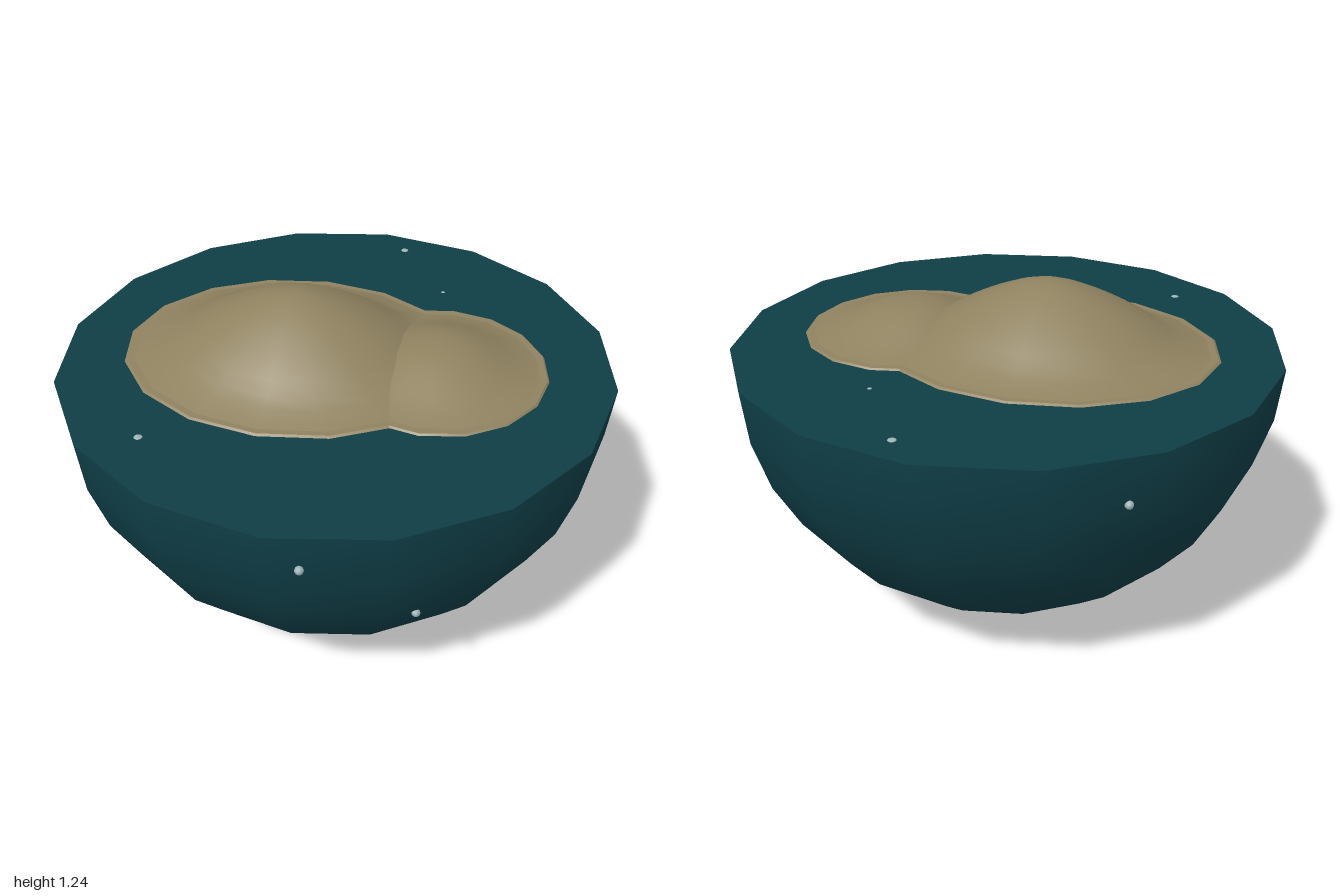
import * as THREE from 'three';

const material = (name, color) => {
  const m = new THREE.MeshStandardMaterial({ color });
  m.name = name;
  return m;
};

export function createModel() {
  const model = new THREE.Group();
  model.name = 'islandInSea';
  const sea = material('deepTeal', 0x0f3d46);
  const sand = material('sand', 0x8f8260);
  const foam = material('paleFoam', 0x9db4b8);

  const add = (name, geometry, mat, parent = model) => {
    const mesh = new THREE.Mesh(geometry, mat);
    mesh.name = name;
    parent.add(mesh);
    return mesh;
  };

  // Half globe of water, closed by a flat surface
  const bowl = new THREE.SphereGeometry(1, 16, 8, 0, Math.PI * 2, Math.PI / 2, Math.PI / 2);
  add('seaBowl', bowl, sea).position.y = 1;
  const surface = add('seaSurface', new THREE.CircleGeometry(1, 16), sea);
  surface.rotation.x = -Math.PI / 2;
  surface.position.y = 1;

  // Bell-shaped hills, each on a thin beach; profile runs from rim to summit
  const addHill = (name, x, rx, rz, height, profile) => {
    const hill = new THREE.Group();
    hill.name = name;
    hill.position.set(x, 1, 0);
    hill.scale.set(rx, 1, rz);
    model.add(hill);
    const points = profile.map(([r, h]) => new THREE.Vector2(r, h * height));
    const curve = new THREE.SplineCurve(points);
    const outline = curve.getPoints(14);
    outline[outline.length - 1].x = 0;
    add(name + 'Slope', new THREE.LatheGeometry(outline, 16), sand, hill);
    add(name + 'Beach', new THREE.CylinderGeometry(0.985, 1, 0.006, 16), sand, hill).position.y = 0.003;
  };
  addHill('mainHill', -0.15, 0.63, 0.53, 0.24,
    [[0.98, 0], [0.77, 0.16], [0.57, 0.46], [0.4, 0.69], [0.25, 0.86], [0.1, 0.98], [0, 1]]);
  addHill('lowHill', 0.37, 0.395, 0.41, 0.115,
    [[0.98, 0], [0.77, 0.19], [0.57, 0.48], [0.4, 0.73], [0.25, 0.9], [0.1, 0.985], [0, 1]]);

  // Tiny foam flecks just breaking through the water
  const flecks = [
    [0.11, 0.87, 0.975], [0.44, 0.55, 0.76], [-0.61, 0.83, -0.755],
    [0.1, 1, -0.87], [-0.52, 1, 0.62], [0.31, 1, -0.55],
  ];
  flecks.forEach(([x, y, z], i) => {
    const fleck = add('foamFleck', new THREE.IcosahedronGeometry(i === 5 ? 0.008 : 0.015, 1), foam);
    fleck.position.set(x, y, z);
    if (y === 1) fleck.scale.y = 0.3;
  });
  return model;
}
